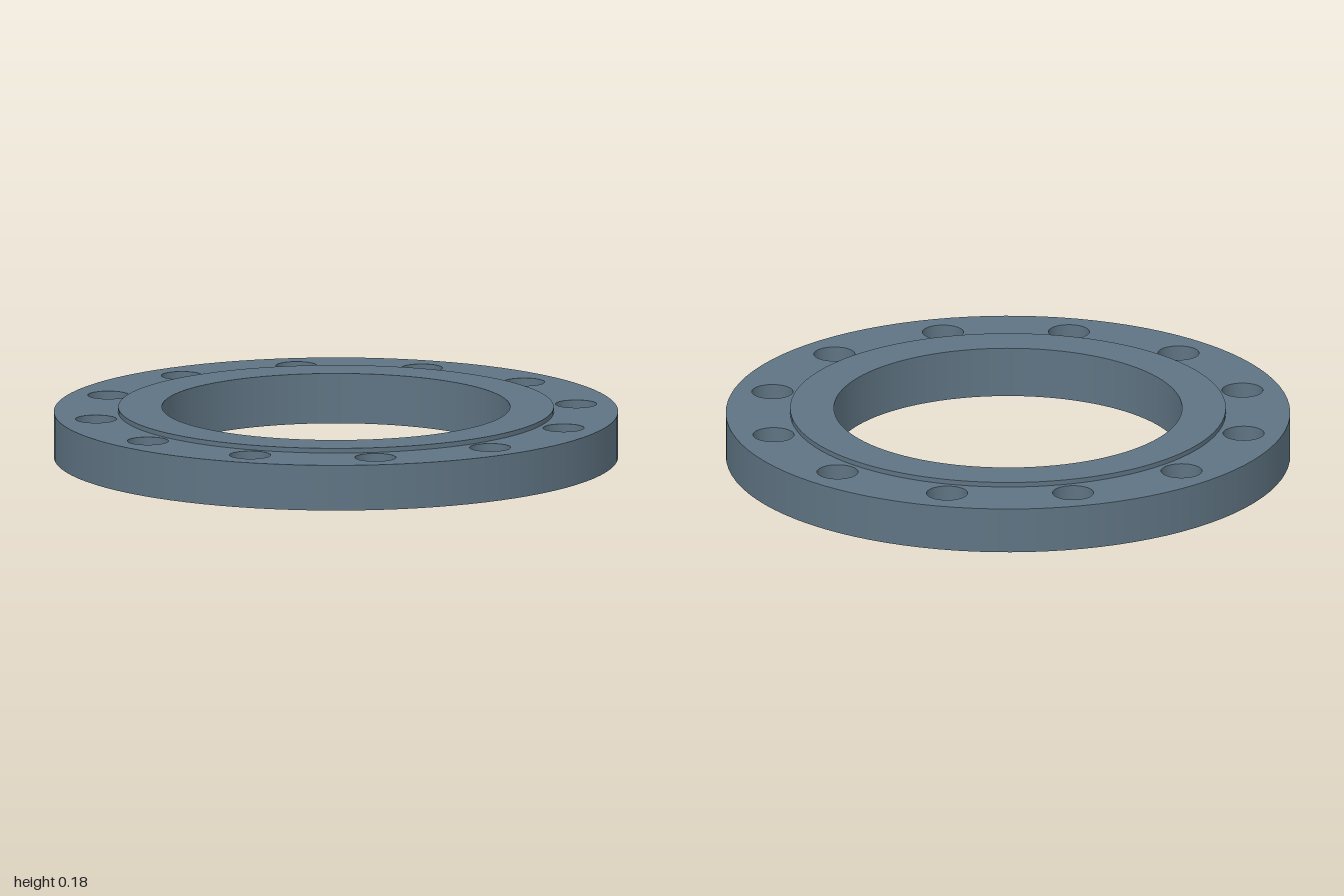
import * as THREE from 'three';

const OUTER = 1, RAISED = 0.772, BORE = 0.617;
const FLANGE_TOP = 0.163, FACE_TOP = 0.18;
const BOLTS = 12, BOLT_CIRCLE = 0.862, BOLT_RADIUS = 0.073;
const SEGMENTS = 96, BOLT_SEGMENTS = 32;

// Centres of the bolt holes in plan
const boltCentres = Array.from({ length: BOLTS }, (_, i) => {
  const a = (i / BOLTS) * Math.PI * 2;
  return new THREE.Vector2(Math.cos(a) * BOLT_CIRCLE, Math.sin(a) * BOLT_CIRCLE);
});

function circle(r, segments, cx = 0, cy = 0) {
  return Array.from({ length: segments }, (_, i) => {
    const a = (i / segments) * Math.PI * 2;
    return new THREE.Vector2(cx + Math.cos(a) * r, cy + Math.sin(a) * r);
  });
}

// Flat ring, optionally pierced by the bolt holes
function ring(outer, inner, y, { up = true, bolts = false } = {}) {
  const shape = new THREE.Shape(circle(outer, SEGMENTS));
  shape.holes.push(new THREE.Path(circle(inner, SEGMENTS)));
  if (bolts) {
    for (const c of boltCentres) {
      shape.holes.push(new THREE.Path(circle(BOLT_RADIUS, BOLT_SEGMENTS, c.x, c.y)));
    }
  }
  return new THREE.ShapeGeometry(shape).rotateX(up ? -Math.PI / 2 : Math.PI / 2).translate(0, y, 0);
}

// Smooth cylindrical wall facing outward, or inward for holes
function wall(r, y0, y1, { inward = false, segments = SEGMENTS } = {}) {
  const profile = [new THREE.Vector2(r, y0), new THREE.Vector2(r, y1)];
  return new THREE.LatheGeometry(inward ? profile.reverse() : profile, segments);
}

export function createModel() {
  const model = new THREE.Group();
  model.name = 'pipeFlange';
  const steel = new THREE.MeshStandardMaterial({ color: 0x5f7483 });

  function add(name, geometry, parent = model) {
    const mesh = new THREE.Mesh(geometry, steel);
    mesh.name = name;
    parent.add(mesh);
    return mesh;
  }

  // Flange body
  add('flangeRim', wall(OUTER, 0, FLANGE_TOP));
  add('flangeTop', ring(OUTER, RAISED, FLANGE_TOP, { bolts: true }));
  add('flangeBottom', ring(OUTER, BORE, 0, { up: false, bolts: true }));

  // Raised sealing face and central bore
  add('raisedFaceEdge', wall(RAISED, FLANGE_TOP, FACE_TOP));
  add('raisedFace', ring(RAISED, BORE, FACE_TOP));
  add('bore', wall(BORE, 0, FACE_TOP, { inward: true }));

  // Bolt hole linings
  const boltHoles = new THREE.Group();
  boltHoles.name = 'boltHoles';
  model.add(boltHoles);
  const lining = wall(BOLT_RADIUS, 0, FLANGE_TOP, { inward: true, segments: BOLT_SEGMENTS });
  for (const c of boltCentres) add('boltHole', lining, boltHoles).position.set(c.x, 0, c.y);

  return model;
}
